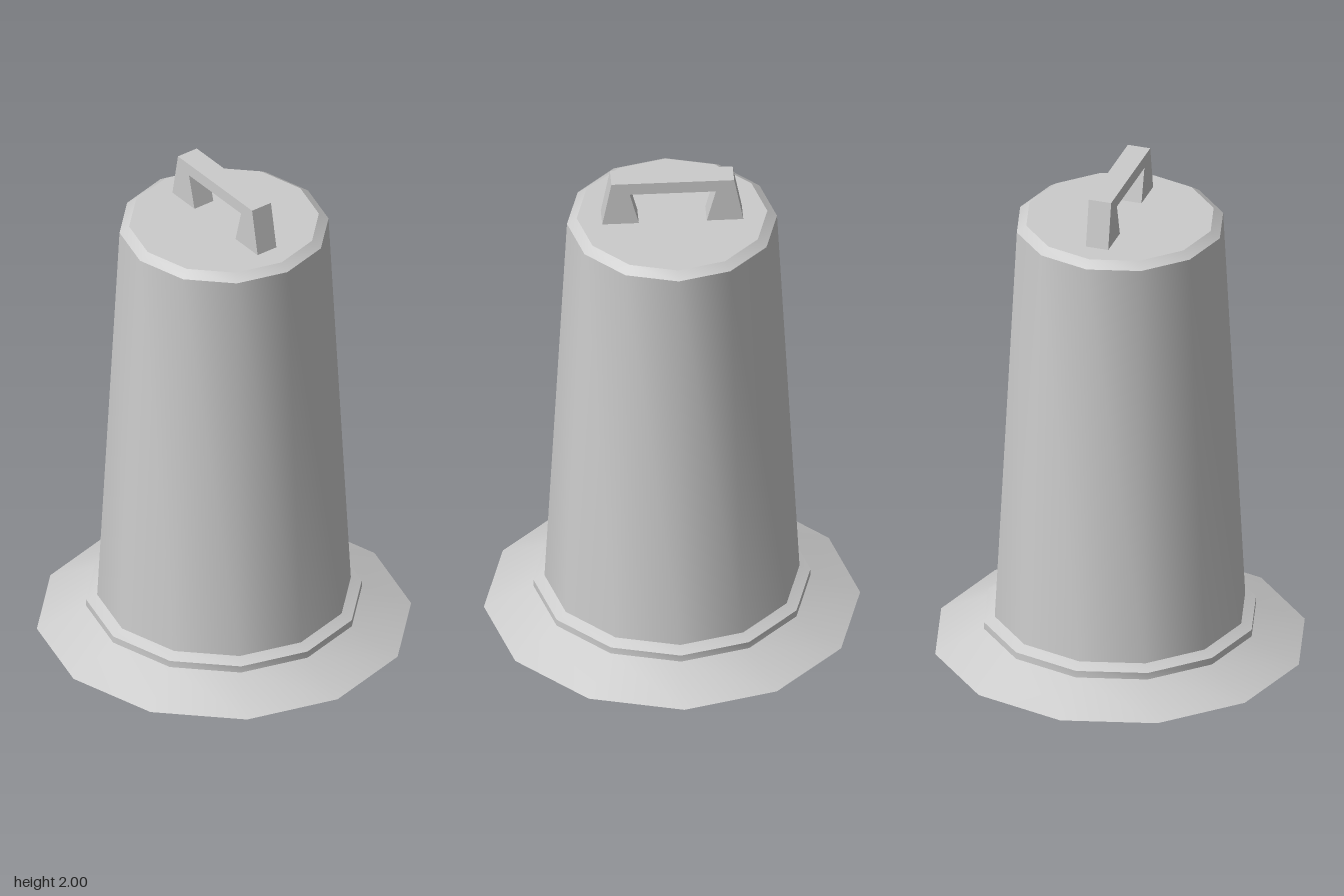
import * as THREE from 'three';
import { toCreasedNormals } from 'three/addons/utils/BufferGeometryUtils.js';

const SIDES = 12;
const grey = new THREE.MeshStandardMaterial({ color: 0xcccccc });

function addMesh(parent, name, geometry) {
  const mesh = new THREE.Mesh(geometry, grey);
  mesh.name = name;
  parent.add(mesh);
  return mesh;
}

// Twelve-sided turned surface, smooth around and sharp at the profile's corners.
function turned(profile) {
  const points = profile.map(([r, y]) => new THREE.Vector2(r, y));
  return toCreasedNormals(new THREE.LatheGeometry(points, SIDES), 0.58);
}

export function createModel() {
  const model = new THREE.Group();
  model.name = 'hollowBuoy';

  // Flared foot with its stepped collar
  addMesh(model, 'flaredFoot', turned([
    [0.72, 0], [0.53, 0.09], [0.53, 0.118], [0.488, 0.138],
  ]));

  // Tapered body, bevelled shoulder and flat top
  addMesh(model, 'body', turned([
    [0.488, 0.138], [0.402, 1.79], [0.365, 1.815], [0, 1.815],
  ]));

  // Hollow inside, open at the bottom: ceiling, wall and underside of the foot
  addMesh(model, 'innerShell', turned([
    [0, 1.79], [0.39, 1.78], [0.482, 0.1], [0.72, 0],
  ]));

  // Handle: a tapered arch whose legs widen toward the bottom
  const outline = [
    [-0.27, 1.815], [-0.13, 1.815], [-0.165, 1.95], [0.165, 1.95],
    [0.13, 1.815], [0.27, 1.815], [0.235, 2], [-0.235, 2],
  ];
  const shape = new THREE.Shape(outline.map(([x, y]) => new THREE.Vector2(x, y)));
  const handle = new THREE.ExtrudeGeometry(shape, { depth: 0.09, bevelEnabled: false });
  handle.translate(0, 0, -0.047);
  addMesh(model, 'handle', handle);

  return model;
}
